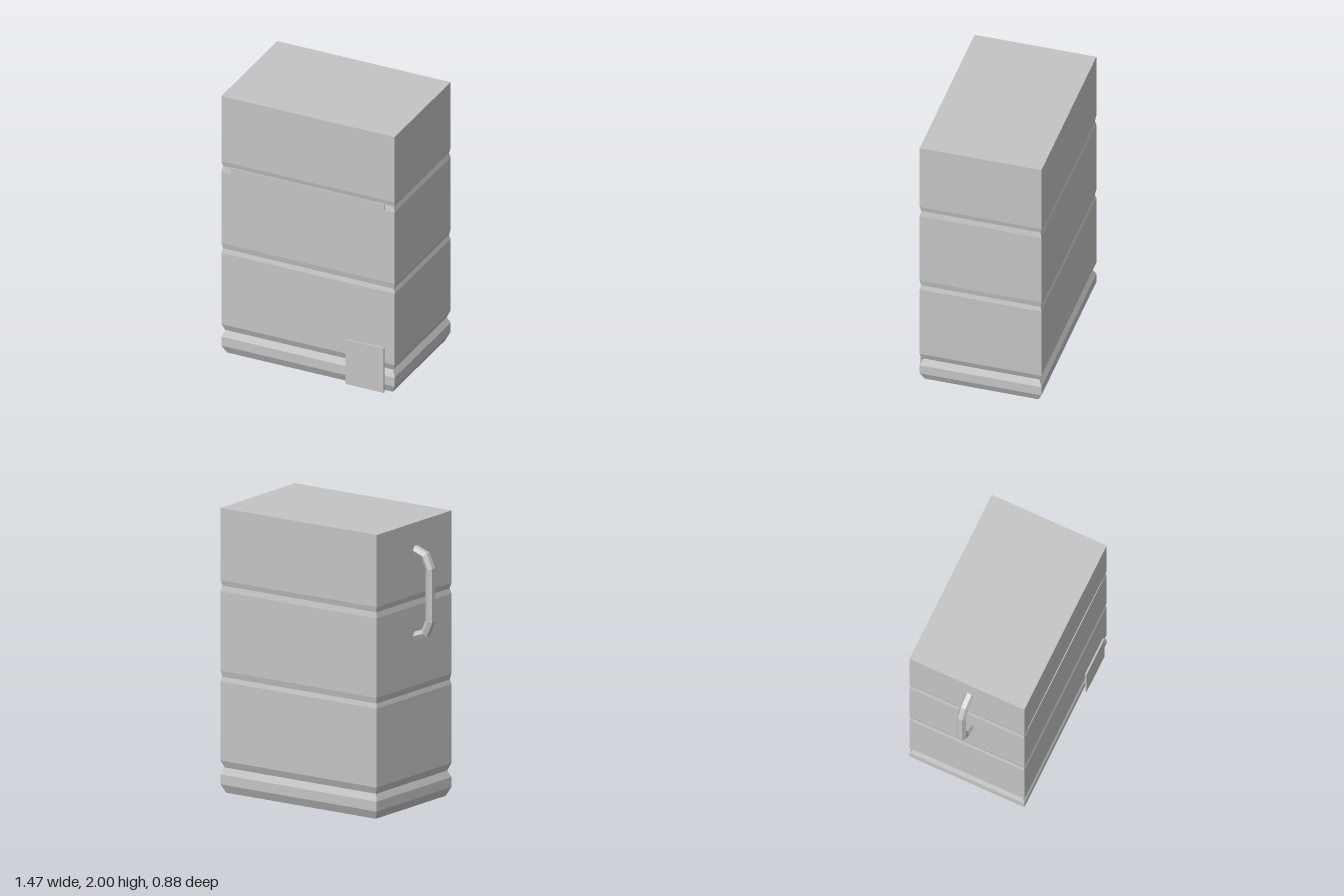
import * as THREE from 'three';

// Closed solid through equal-sized rings, counter-clockwise about the travel direction
function loft(rings) {
  const n = rings[0].length, last = (rings.length - 1) * n, index = [];
  for (let r = 0; r < rings.length - 1; r++) {
    for (let i = 0; i < n; i++) {
      const a = r * n + i, b = r * n + (i + 1) % n;
      index.push(a, b, b + n, a, b + n, a + n);
    }
  }
  for (let i = 1; i < n - 1; i++) {
    index.push(0, i + 1, i, last, last + i, last + i + 1);
  }
  const indexed = new THREE.BufferGeometry();
  indexed.setAttribute('position', new THREE.Float32BufferAttribute(rings.flat(2), 3));
  indexed.setIndex(index);
  const geometry = indexed.toNonIndexed();
  geometry.computeVertexNormals();
  return geometry;
}

export function createModel() {
  const model = new THREE.Group();
  const grey = new THREE.MeshStandardMaterial({ color: 0xc4c4c4, flatShading: true });
  grey.name = 'grey';

  const add = (name, geometry, x = 0, y = 0, z = 0) => {
    const mesh = new THREE.Mesh(geometry, grey);
    mesh.name = name;
    mesh.position.set(x, y, z);
    model.add(mesh);
  };

  // Rectangular body: [height, inset] rows form the foot and the pressed grooves
  const [x0, x1, z0, z1] = [-0.585, 0.73, -0.445, 0.42];
  const profile = [
    [0, 0.028], [0.06, 0], [0.13, 0], [0.178, 0.02], [0.228, 0],
    [0.782, 0], [0.815, 0.008], [0.858, 0],
    [1.415, 0], [1.455, 0.008], [1.493, 0], [2, 0],
  ];
  add('body', loft(profile.map(([y, d]) => [
    [x0 + d, y, z1 - d], [x1 - d, y, z1 - d], [x1 - d, y, z0 + d], [x0 + d, y, z0 + d],
  ])));

  // Flush strip filling the lower half of the upper front groove
  add('grooveFiller', new THREE.BoxGeometry(1.17, 0.045, 0.009), 0.07, 1.435, 0.4155);

  // Small plate standing just off the front
  add('frontPlate', new THREE.BoxGeometry(0.29, 0.345, 0.012), 0.511, 0.1755, 0.433);

  // Hexagonal side handle, mitred at each bend
  const path = [
    [-0.575, 1.202], [-0.667, 1.235], [-0.707, 1.322],
    [-0.707, 1.69], [-0.667, 1.777], [-0.575, 1.81],
  ].map(([x, y]) => new THREE.Vector2(x, y));
  const normals = path.slice(1).map((p, i) => {
    const t = p.clone().sub(path[i]).normalize();
    return new THREE.Vector2(t.y, -t.x);
  });
  const rings = path.map((p, i) => {
    const a = normals[Math.max(i - 1, 0)];
    const b = normals[Math.min(i, normals.length - 1)];
    const m = a.clone().add(b).divideScalar(1 + a.dot(b));
    return Array.from({ length: 6 }, (_, k) => {
      const angle = k * Math.PI / 3, s = 0.033 * Math.sin(angle);
      return [p.x + m.x * s, p.y + m.y * s, 0.0075 + 0.033 * Math.cos(angle)];
    });
  });
  add('sideHandle', loft(rings));

  return model;
}
